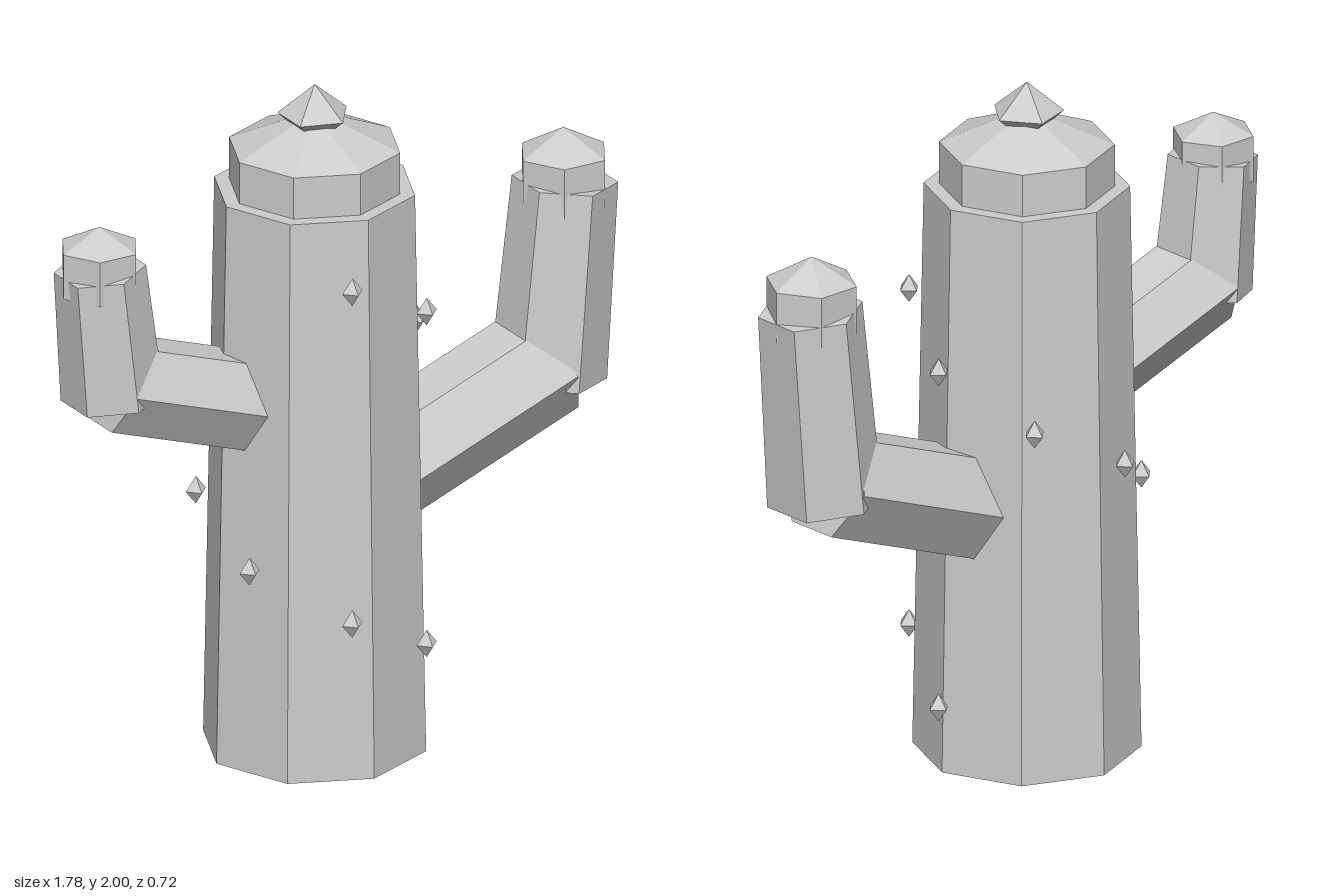
import * as THREE from 'three';

export function createModel() {
  const model = new THREE.Group();
  model.name = 'cactus';
  const grey = new THREE.MeshStandardMaterial({ color: 0xcccccc });
  grey.name = 'cactus grey';
  grey.flatShading = true;
  const CX = -0.065; // trunk axis

  function add(parent, name, geometry, x, y, z) {
    const mesh = new THREE.Mesh(geometry, grey);
    mesh.name = name;
    mesh.position.set(x, y, z);
    parent.add(mesh);
    return mesh;
  }

  // Tapered prism between two points in the xy plane
  function limb(parent, name, [x0, y0], [x1, y1], r0, r1) {
    const length = Math.hypot(x1 - x0, y1 - y0);
    const mesh = add(parent, name, new THREE.CylinderGeometry(r1, r0, length, 6),
      (x0 + x1) / 2, (y0 + y1) / 2, 0);
    mesh.rotation.z = Math.atan2(y1 - y0, x1 - x0) - Math.PI / 2;
  }

  // Upright collar with a pointed roof
  function cap(parent, name, x, bottom, rim, apex, r, sides, turn) {
    const group = new THREE.Group();
    group.name = name;
    const collar = add(group, 'collar', new THREE.CylinderGeometry(r, r, rim - bottom, sides), x, (bottom + rim) / 2, 0);
    const roof = add(group, 'roof', new THREE.ConeGeometry(r, apex - rim, sides, 1, true), x, (rim + apex) / 2, 0);
    collar.rotation.y = roof.rotation.y = turn;
    parent.add(group);
  }

  // Trunk and its crown
  add(model, 'trunk', new THREE.CylinderGeometry(0.29, 0.322, 1.69, 8), CX, 0.845, 0);
  cap(model, 'trunkCap', CX, 1.66, 1.815, 1.92, 0.247, 8, 0);

  // Five-sided bud on top
  const bud = add(model, 'bud', new THREE.SphereGeometry(1, 5, 2), CX, 1.91, 0);
  bud.scale.set(0.105, 0.09, 0.105);
  bud.rotation.y = Math.PI;

  // Bent arms
  const arms = [
    { name: 'leftArm', start: [0.1, 0.767], elbow: [0.7, 1.0], base: [0.703, 0.947], tip: [0.757, 1.532],
      r: 0.165, rTip: 0.15, cap: [0.752, 1.465, 1.615, 1.69, 0.133] },
    { name: 'rightArm', start: [-0.2, 1.055], elbow: [-0.734, 1.239], base: [-0.73, 1.196], tip: [-0.77, 1.592],
      r: 0.145, rTip: 0.13, cap: [-0.772, 1.525, 1.66, 1.72, 0.118] },
  ];
  for (const a of arms) {
    const arm = new THREE.Group();
    arm.name = a.name;
    limb(arm, 'lowerArm', a.start, a.elbow, a.r, a.r);
    limb(arm, 'upperArm', a.base, a.tip, a.r, a.rTip);
    cap(arm, 'armCap', ...a.cap, 6, Math.PI / 6);
    model.add(arm);
  }

  // Spines winding up around the trunk
  for (let i = 0; i < 10; i++) {
    const angle = (i * Math.PI * 2) / 7;
    const spine = add(model, 'spine', new THREE.OctahedronGeometry(1),
      CX + 0.335 * Math.cos(angle), 0.2 + i * 0.1445, 0.335 * Math.sin(angle));
    spine.scale.set(0.033, 0.042, 0.033);
  }

  return model;
}
